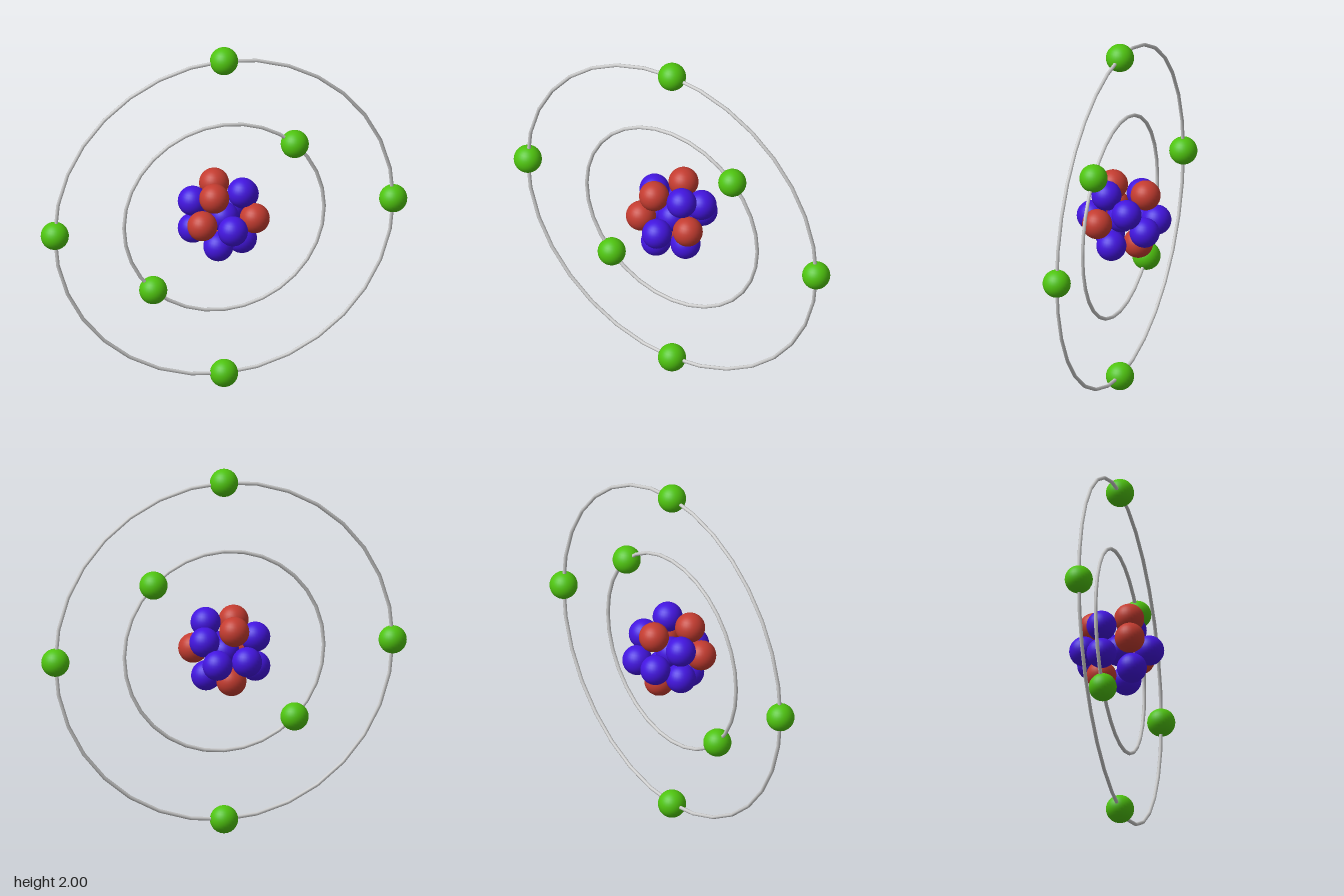
import * as THREE from 'three';

const mat = (color) => new THREE.MeshStandardMaterial({ color });

export function createModel() {
  const atom = new THREE.Group();
  atom.name = 'atom';
  const grey = mat(0xcccccc), green = mat(0x4fc40f), red = mat(0xc43c30), blue = mat(0x4315e0);
  const Z = 0.008; // plane of the orbits

  const ball = (parent, name, geometry, material, x, y, z) => {
    const mesh = new THREE.Mesh(geometry, material);
    mesh.name = name;
    mesh.position.set(x, y, z);
    parent.add(mesh);
  };

  // Nucleus: a packed cluster of protons and neutrons
  const nucleus = new THREE.Group();
  nucleus.name = 'nucleus';
  atom.add(nucleus);
  const nucleon = new THREE.SphereGeometry(0.08, 32, 16);
  const protons = [
    [-0.07, 1.15, 0.075], [-0.02, 1.14, -0.13], [-0.14, 1.005, 0.095],
    [0.15, 1.01, 0.08], [-0.015, 0.86, -0.09],
  ];
  const neutrons = [
    [0, 1, 0], [0.09, 1.155, 0.05], [-0.155, 1.085, -0.055], [0.13, 1.08, -0.08],
    [0.01, 0.99, 0.165], [-0.155, 0.925, -0.055], [-0.05, 0.87, 0.085],
    [0.095, 0.87, 0.02], [0.08, 0.97, -0.163], [-0.08, 0.98, -0.168],
  ];
  protons.forEach((p) => ball(nucleus, 'proton', nucleon, red, ...p));
  neutrons.forEach((p) => ball(nucleus, 'neutron', nucleon, blue, ...p));

  // Orbits, each carrying evenly spaced electrons
  const electron = new THREE.SphereGeometry(0.075, 32, 16);
  const orbits = [
    { name: 'innerOrbit', radius: 0.547, count: 2, start: Math.PI / 4 },
    { name: 'outerOrbit', radius: 0.925, count: 4, start: 0 },
  ];
  for (const { name, radius, count, start } of orbits) {
    const orbit = new THREE.Group();
    orbit.name = name;
    orbit.position.set(0, 1, Z);
    const ring = new THREE.Mesh(new THREE.TorusGeometry(radius, 0.01, 8, 32), grey);
    ring.name = 'orbitRing';
    orbit.add(ring);
    for (let i = 0; i < count; i++) {
      const a = start + (i / count) * Math.PI * 2;
      ball(orbit, 'electron', electron, green, radius * Math.cos(a), radius * Math.sin(a), 0);
    }
    atom.add(orbit);
  }
  return atom;
}
